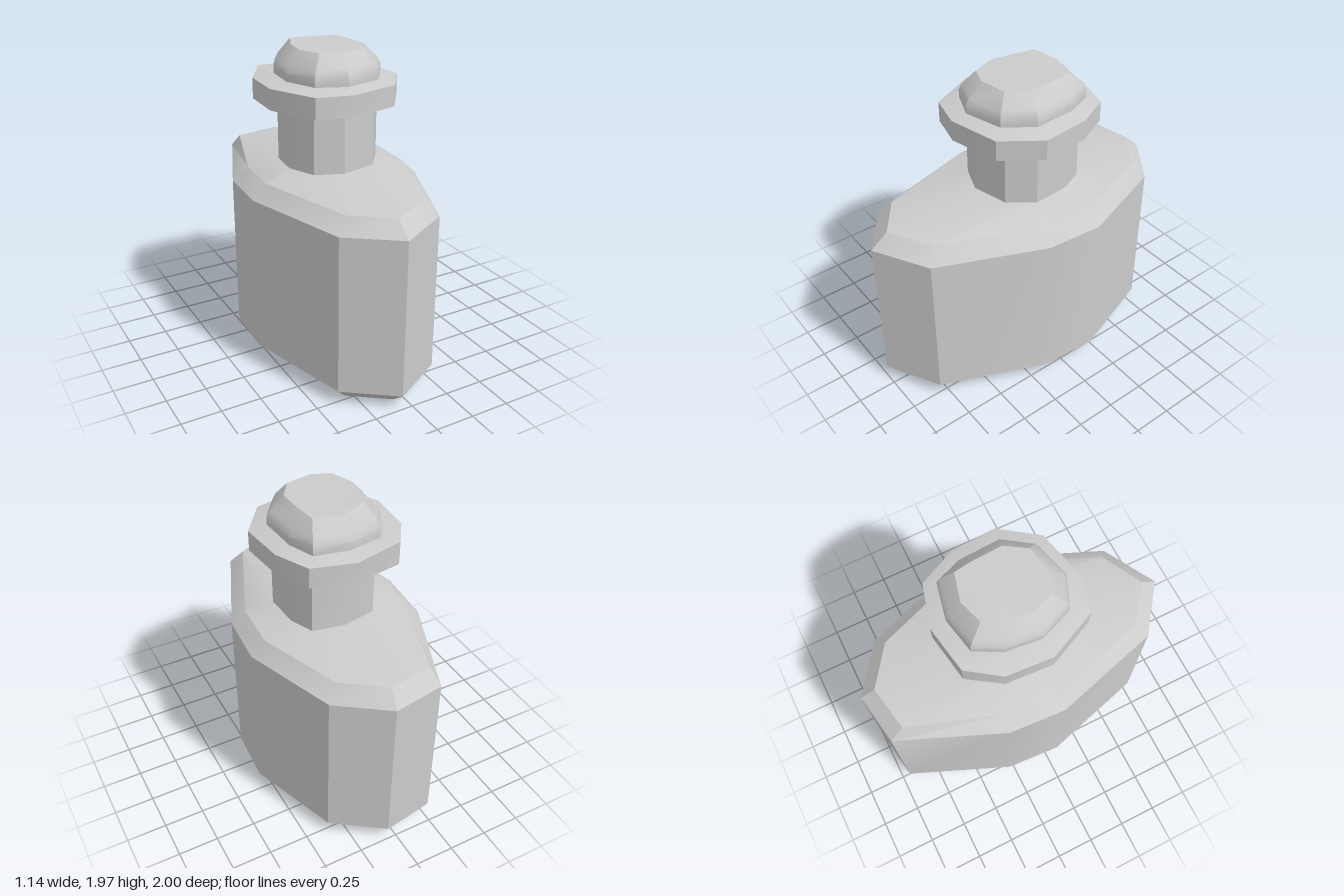
import * as THREE from 'three';
import { toCreasedNormals } from 'three/addons/utils/BufferGeometryUtils.js';

// Ten-sided outlines as [x, z], starting at the back and going towards +x
const bodyOuter = [[0.06, -1], [0.365, -0.78], [0.57, -0.2], [0.545, 0.155], [0.27, 0.81],
  [-0.07, 1], [-0.375, 0.775], [-0.57, 0.08], [-0.545, -0.285], [-0.27, -0.945]];
const bodyInner = [[0.04, -0.905], [0.29, -0.725], [0.48, -0.2], [0.46, 0.13], [0.2, 0.75],
  [-0.065, 0.89], [-0.295, 0.72], [-0.48, 0.07], [-0.46, -0.23], [-0.25, -0.85]];
const collarOuter = [[0.025, -0.485], [0.29, -0.41], [0.39, -0.2], [0.42, 0.1], [0.255, 0.33],
  [-0.065, 0.405], [-0.285, 0.35], [-0.425, 0.05], [-0.405, -0.24], [-0.275, -0.435]];
const collarInner = [[0.02, -0.42], [0.245, -0.365], [0.315, -0.2], [0.34, 0.085], [0.2, 0.275],
  [-0.05, 0.34], [-0.25, 0.265], [-0.34, 0.04], [-0.315, -0.2], [-0.22, -0.37]];
const stopperOuter = [[0.02, -0.39], [0.23, -0.345], [0.295, -0.18], [0.31, 0.08], [0.19, 0.25],
  [-0.05, 0.315], [-0.23, 0.24], [-0.31, 0.035], [-0.285, -0.19], [-0.2, -0.345]];
const stopperTop = [[0.01, -0.295], [0.185, -0.25], [0.2, -0.14], [0.21, 0.05], [0.13, 0.175],
  [-0.04, 0.21], [-0.16, 0.165], [-0.215, 0.015], [-0.19, -0.14], [-0.14, -0.25]];
const neck = stopperOuter.map(([x, z]) => [x * 0.96, -0.04 + (z + 0.04) * 0.88]);

const blend = (a, b, t) => a.map(([x, z], i) => [x + (b[i][0] - x) * t, z + (b[i][1] - z) * t]);

// One cross-section; lift raises the back left corner
const ring = (outline, y, lift = 0) =>
  outline.map(([x, z], i) => new THREE.Vector3(x, y + (i === 9 ? lift : 0), z));

// Skins rings from bottom to top, with optional end faces
function loft(name, rings, { bottom = false, top = false } = {}) {
  const pts = [];
  const n = rings[0].length;
  for (let r = 0; r < rings.length - 1; r++) {
    const lo = rings[r], hi = rings[r + 1];
    for (let i = 0; i < n; i++) {
      const j = (i + 1) % n;
      pts.push(lo[i], hi[i], lo[j], lo[j], hi[i], hi[j]);
    }
  }
  const cap = (loop, up) => {
    const c = loop.reduce((s, p) => s.add(p), new THREE.Vector3()).divideScalar(n);
    for (let i = 0; i < n; i++) {
      const j = (i + 1) % n;
      pts.push(c, loop[up ? j : i], loop[up ? i : j]);
    }
  };
  if (bottom) cap(rings[0], false);
  if (top) cap(rings[rings.length - 1], true);
  const geo = new THREE.BufferGeometry().setFromPoints(pts);
  const mat = new THREE.MeshStandardMaterial({ color: 0xcccccc, side: THREE.DoubleSide });
  const mesh = new THREE.Mesh(toCreasedNormals(geo, THREE.MathUtils.degToRad(30)), mat);
  mesh.name = name;
  return mesh;
}

export function createModel() {
  const model = new THREE.Group();
  model.name = 'bottle';
  model.add(
    // Flattened body with chamfered base and shoulders
    loft('body', [ring(bodyInner, 0), ring(bodyOuter, 0.09), ring(bodyOuter, 1.09),
      ring(bodyInner, 1.18), ring(neck, 1.23)], { bottom: true }),
    loft('neck', [ring(neck, 1.23), ring(neck, 1.58)]),
    // Flared lip around the neck
    loft('collar', [ring(neck, 1.58), ring(collarOuter, 1.62), ring(collarOuter, 1.75, 0.02),
      ring(collarInner, 1.77, 0.01), ring(stopperOuter, 1.775)]),
    // Rounded stopper
    loft('stopper', [ring(stopperOuter, 1.775), ring(stopperOuter, 1.825),
      ring(blend(stopperOuter, stopperTop, 0.2), 1.865),
      ring(stopperTop, 1.95, 0.015)], { top: true }),
  );
  return model;
}
